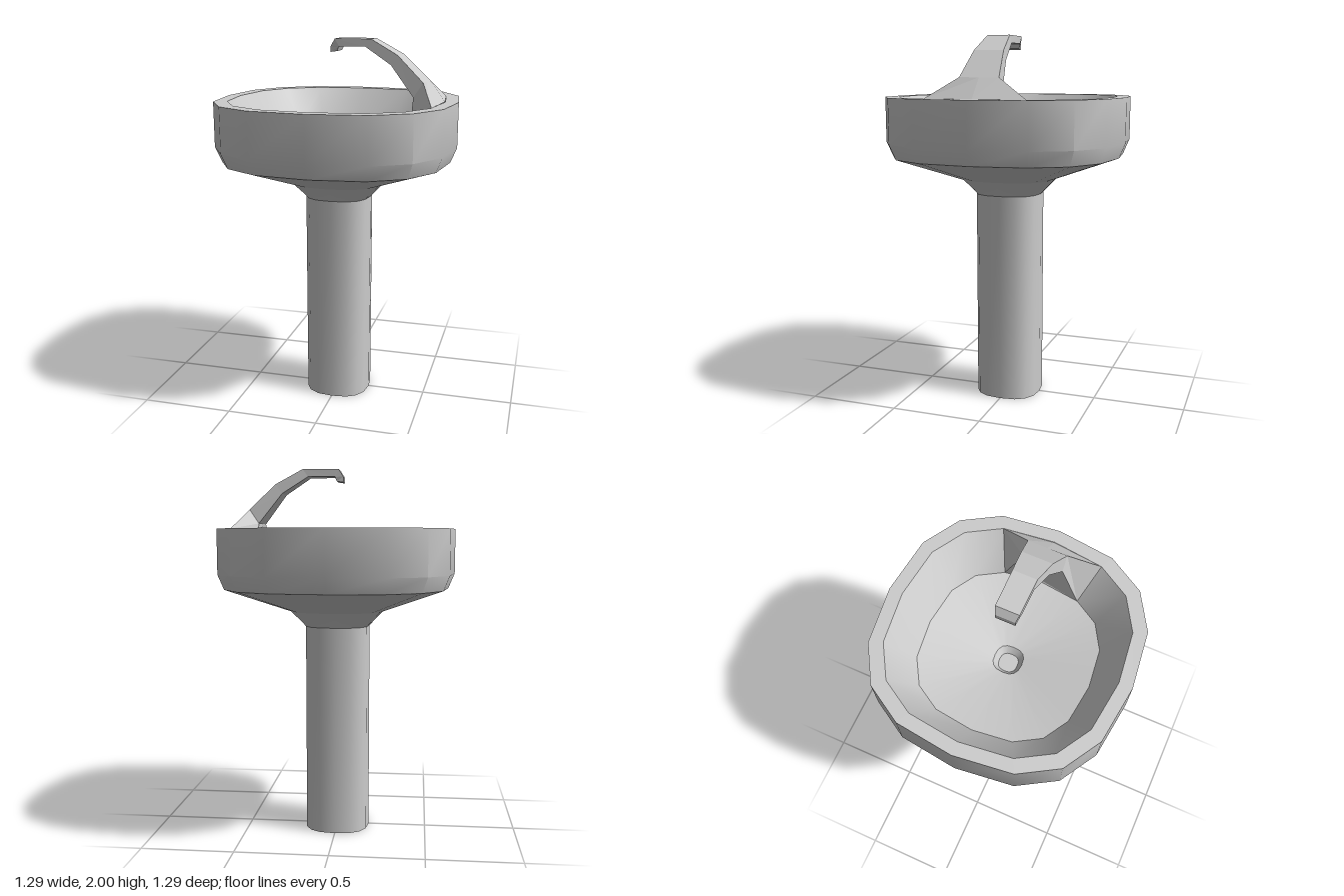
import * as THREE from 'three';
import { toCreasedNormals } from 'three/addons/utils/BufferGeometryUtils.js';

// One quadrant of the sixteen-sided, softly squared outline (unit radius)
const QUADRANT = [[1, 0], [0.943, 0.467], [0.765, 0.765], [0.467, 0.943]];

function outline() {
  const pts = [];
  for (let q = 0; q < 4; q++) {
    for (const [x, z] of QUADRANT) {
      pts.push([[x, z], [-z, x], [-x, -z], [z, -x]][q]);
    }
  }
  return pts;
}

// Joins equal loops of points into a skin; optional fan caps at either end
function loft(loops, capStart, capEnd) {
  const n = loops[0].length;
  const index = [];
  for (let s = 0; s < loops.length - 1; s++) {
    for (let i = 0; i < n; i++) {
      const j = (i + 1) % n;
      const a = s * n + i, b = a + n, c = s * n + j, d = c + n;
      index.push(a, b, c, c, b, d);
    }
  }
  const last = (loops.length - 1) * n;
  for (let i = 1; i < n - 1; i++) {
    if (capStart) index.push(0, i, i + 1);
    if (capEnd) index.push(last, last + i + 1, last + i);
  }
  const geo = new THREE.BufferGeometry();
  geo.setAttribute('position', new THREE.Float32BufferAttribute(loops.flat(2), 3));
  geo.setIndex(index);
  return geo;
}

// Squared rings stacked along a [radius, height] profile
function squaredLathe(profile, capStart, capEnd) {
  const ring = outline();
  const loops = profile.map(([r, y]) => ring.map(([x, z]) => [x * r, y, z * r]));
  const geo = loft(loops, capStart, capEnd).toNonIndexed();
  return toCreasedNormals(geo, THREE.MathUtils.degToRad(35));
}

export function createModel() {
  const group = new THREE.Group();
  const grey = new THREE.MeshStandardMaterial({ color: 0xcccccc, side: THREE.DoubleSide });
  const flatGrey = new THREE.MeshStandardMaterial({ color: 0xcccccc, flatShading: true, side: THREE.DoubleSide });
  const add = (name, geo, mat) => {
    const mesh = new THREE.Mesh(geo, mat);
    mesh.name = name;
    group.add(mesh);
  };

  // Pedestal column with flared neck
  add('pedestal', squaredLathe([
    [0.178, 0], [0.178, 1.15], [0.205, 1.18], [0.26, 1.235],
  ], true, false), grey);

  // Basin: underside, outer wall, rim, inner wall, sloping floor and drain hole
  add('basin', squaredLathe([
    [0.26, 1.235], [0.61, 1.36], [0.643, 1.44], [0.643, 1.68],
    [0.573, 1.68], [0.441, 1.47], [0.075, 1.39], [0.05, 1.35],
  ], false, true), grey);

  // Spout sections: top x, top y, bottom x, bottom y, top half width, bottom half width, bulge
  const sections = [
    [-0.035, 1.93, 0.0, 1.935, 0.05, 0.05, 0],
    [-0.035, 1.96, 0.01, 1.958, 0.05, 0.058, 0],
    [-0.01, 2.0, 0.012, 1.96, 0.06, 0.06, 0],
    [0.185, 2.0, 0.155, 1.96, 0.062, 0.062, 0],
    [0.33, 1.92, 0.295, 1.87, 0.08, 0.08, 0],
    [0.47, 1.785, 0.42, 1.71, 0.105, 0.105, 0],
    // spreads out to meet three corners of the basin's inner wall
    [0.54, 1.68, 0.416, 1.47, 0.268, 0.206, 0.03],
  ];
  const loops = sections.map(([tx, ty, bx, by, tw, bw, k]) => [
    [tx, ty, tw], [tx + k, ty, 0], [tx, ty, -tw],
    [bx, by, -bw], [bx + k, by, 0], [bx, by, bw],
  ]);
  add('spout', loft(loops, true, false).toNonIndexed(), flatGrey);
  group.getObjectByName('spout').geometry.computeVertexNormals();

  return group;
}
